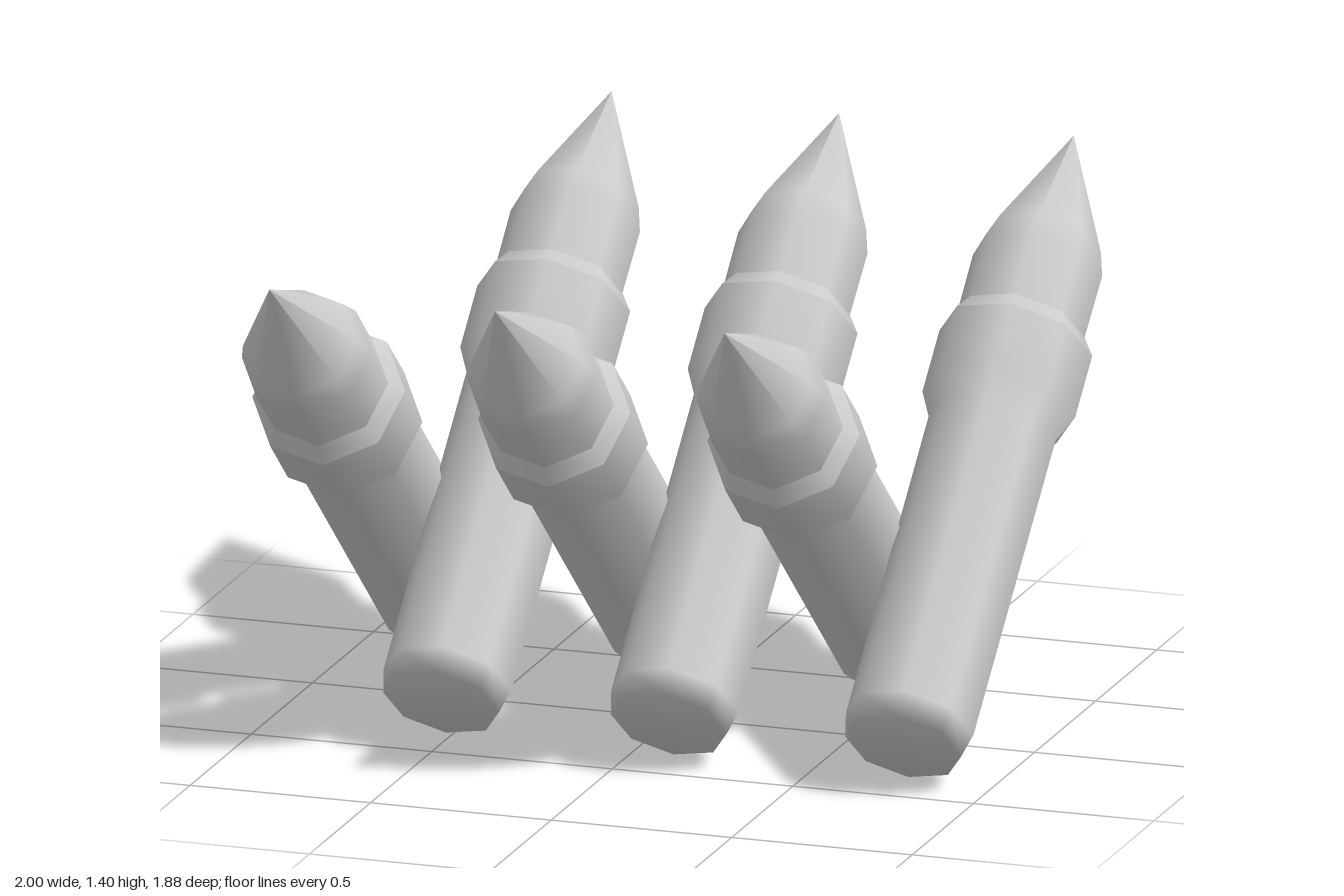
import * as THREE from 'three';

const SIDES = 8;
const TWIST = THREE.MathUtils.degToRad(8);

// Turned section along +y from [radius, height] pairs
function turned(profile) {
  const points = profile.map(([r, y]) => new THREE.Vector2(r, y));
  return new THREE.LatheGeometry(points, SIDES, TWIST);
}

export function createModel() {
  const group = new THREE.Group();
  const material = new THREE.MeshStandardMaterial({ color: 0xcccccc });

  const parts = {
    // flat base with a small bevel, straight shaft, flare into the collar
    shaft: turned([[0, 0], [0.157, 0], [0.173, 0.07], [0.173, 0.99], [0.207, 1.06], [0.207, 1.25]]),
    collar: turned([[0.207, 1.25], [0.174, 1.3]]),
    // short cylinder, shoulder, then the point
    nose: turned([[0.174, 1.3], [0.175, 1.49], [0.155, 1.56], [0, 1.893]]),
  };

  function addRound(name, x, y, z, tilt) {
    const round = new THREE.Group();
    round.name = name;
    for (const [part, geometry] of Object.entries(parts)) {
      const mesh = new THREE.Mesh(geometry, material);
      mesh.name = part;
      round.add(mesh);
    }
    round.position.set(x, y, z);
    round.rotation.x = THREE.MathUtils.degToRad(tilt);
    group.add(round);
  }

  // Two interleaved rows leaning across each other
  [-0.8, -0.175, 0.46].forEach((x, i) => addRound(`frontLeaningRound${i + 1}`, x, 0.125, -0.486, 49));
  [-0.49, 0.14, 0.79].forEach((x, i) => addRound(`backLeaningRound${i + 1}`, x, 0.13, 0.452, -47.4));

  return group;
}
